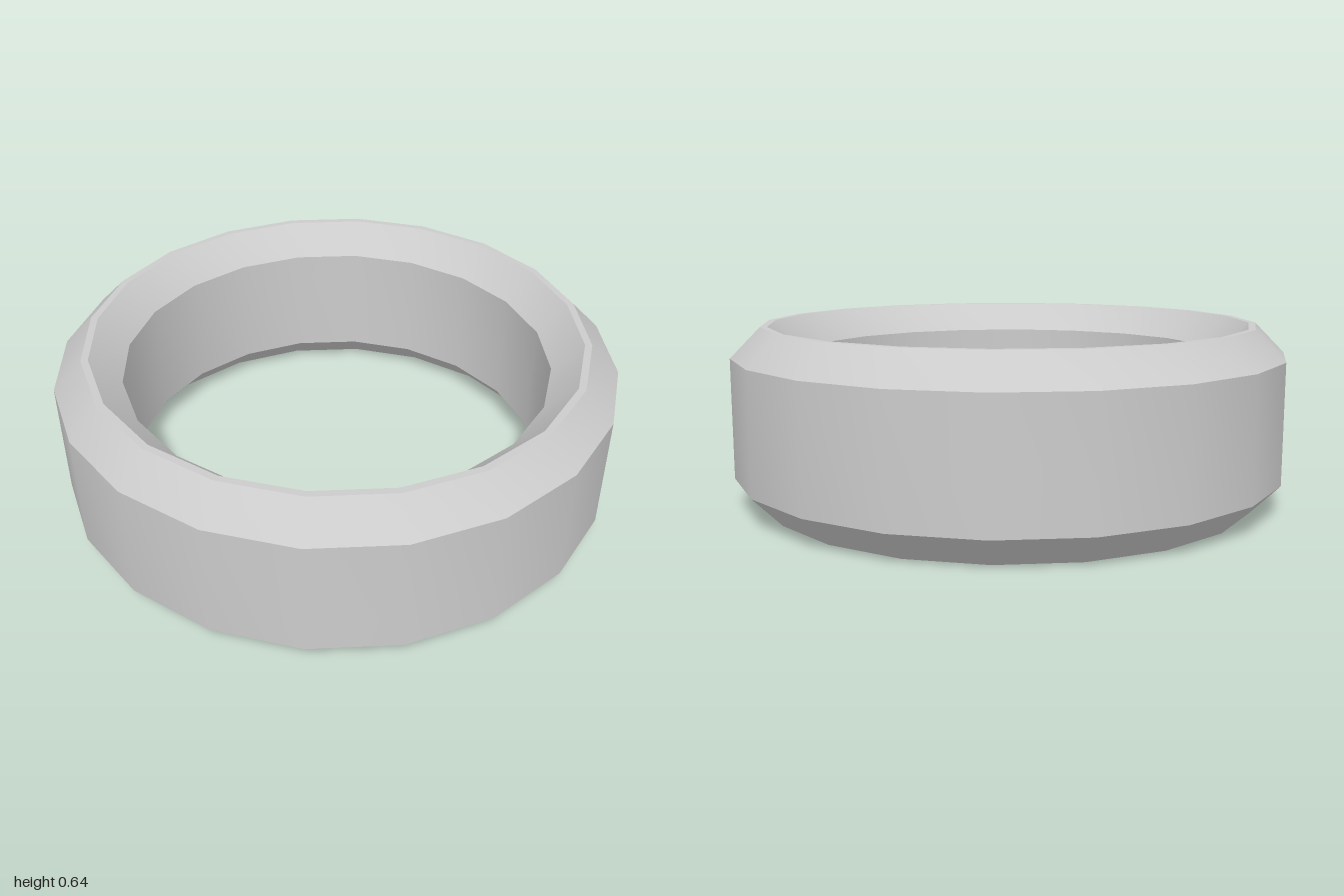
import * as THREE from 'three';
import { toCreasedNormals } from 'three/addons/utils/BufferGeometryUtils.js';

export function createModel() {
  const group = new THREE.Group();
  group.name = 'ring';

  const sides = 20;
  const height = 0.64, bevel = 0.107;
  const outer = 1, rimOuter = 0.895, rimInner = 0.87, inner = 0.765;

  // Closed cross-section: up the outside, over the rim, down the inside
  const profile = [
    [rimOuter, 0],
    [outer, bevel],
    [outer, height - bevel],
    [rimOuter, height],
    [rimInner, height],
    [inner, height - bevel],
    [inner, bevel],
    [rimInner, 0],
    [rimOuter, 0],
  ].map(([r, y]) => new THREE.Vector2(r, y));

  // Smooth around the band, sharp along the bevel edges
  const geometry = toCreasedNormals(new THREE.LatheGeometry(profile, sides), Math.PI / 6);
  const band = new THREE.Mesh(geometry, new THREE.MeshStandardMaterial({ color: 0xcccccc }));
  band.name = 'bevelledBand';
  group.add(band);

  return group;
}
